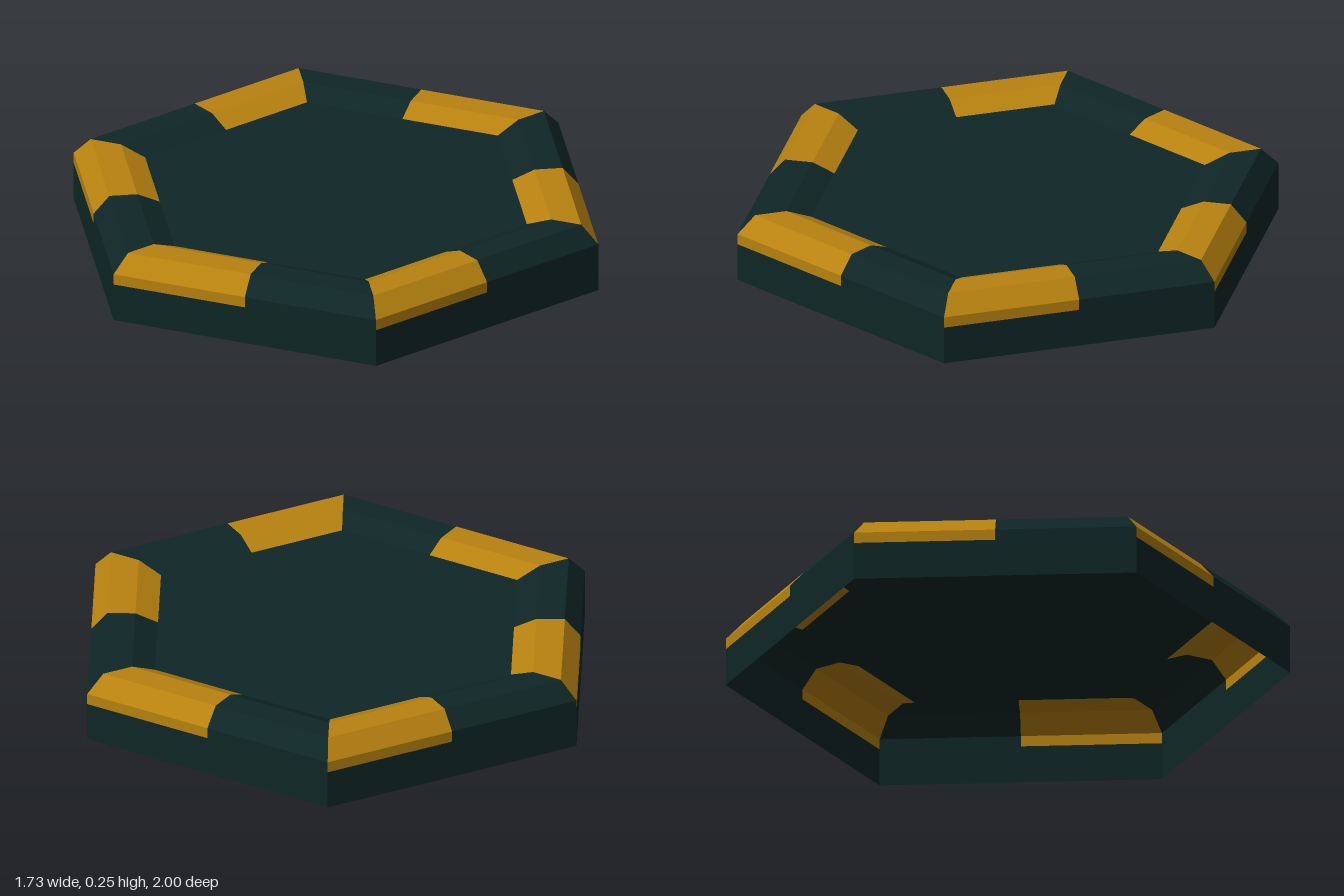
import * as THREE from 'three';

const SIDES = 6;
const STEP = (Math.PI * 2) / SIDES;
const CORNER = 1 / Math.cos(STEP / 2); // corner radius per unit of apothem

// Rim cross-sections as [apothem, height]
const WALL = [[0.866, 0], [0.866, 0.14]];
const RIM = [[0.866, 0.14], [0.866, 0.18], [0.81, 0.245], [0.71, 0.245], [0.63, 0.21]];

// Point on the hexagon; even half-steps are corners, odd ones edge middles
function ringPoint([apothem, y], half) {
  const r = half % 2 === 0 ? apothem * CORNER : apothem;
  const a = (half * STEP) / 2;
  return [r * Math.sin(a), y, r * Math.cos(a)];
}

// Faceted band that sweeps a profile between two half-steps
function band(profile, from, to) {
  const pos = [];
  for (let i = 0; i < profile.length - 1; i++) {
    const a = ringPoint(profile[i], from), b = ringPoint(profile[i], to);
    const c = ringPoint(profile[i + 1], to), d = ringPoint(profile[i + 1], from);
    pos.push(...a, ...b, ...c, ...a, ...c, ...d);
  }
  const geo = new THREE.BufferGeometry();
  geo.setAttribute('position', new THREE.Float32BufferAttribute(pos, 3));
  geo.computeVertexNormals();
  return geo;
}

export function createModel() {
  const group = new THREE.Group();
  group.name = 'hexagonTile';

  const dark = new THREE.MeshStandardMaterial({ color: 0x0f2626, side: THREE.DoubleSide });
  dark.name = 'darkTeal';
  const gold = new THREE.MeshStandardMaterial({ color: 0xb8820f, side: THREE.DoubleSide });
  gold.name = 'gold';

  const add = (name, geo, mat) => {
    const mesh = new THREE.Mesh(geo, mat);
    mesh.name = name;
    group.add(mesh);
    return mesh;
  };

  // Outer wall and rim: each side is half gold, half dark
  for (let k = 0; k < SIDES; k++) {
    add('outerWall', band(WALL, 2 * k, 2 * k + 2), dark);
    add('goldRim', band(RIM, 2 * k, 2 * k + 1), gold);
    add('darkRim', band(RIM, 2 * k + 1, 2 * k + 2), dark);
  }

  // Sunken floor; the underside stays open
  const [floorApothem, floorY] = RIM[RIM.length - 1];
  const floor = add('floor', new THREE.CircleGeometry(floorApothem * CORNER, SIDES, Math.PI / 2), dark);
  floor.rotation.x = -Math.PI / 2;
  floor.position.y = floorY;

  return group;
}
